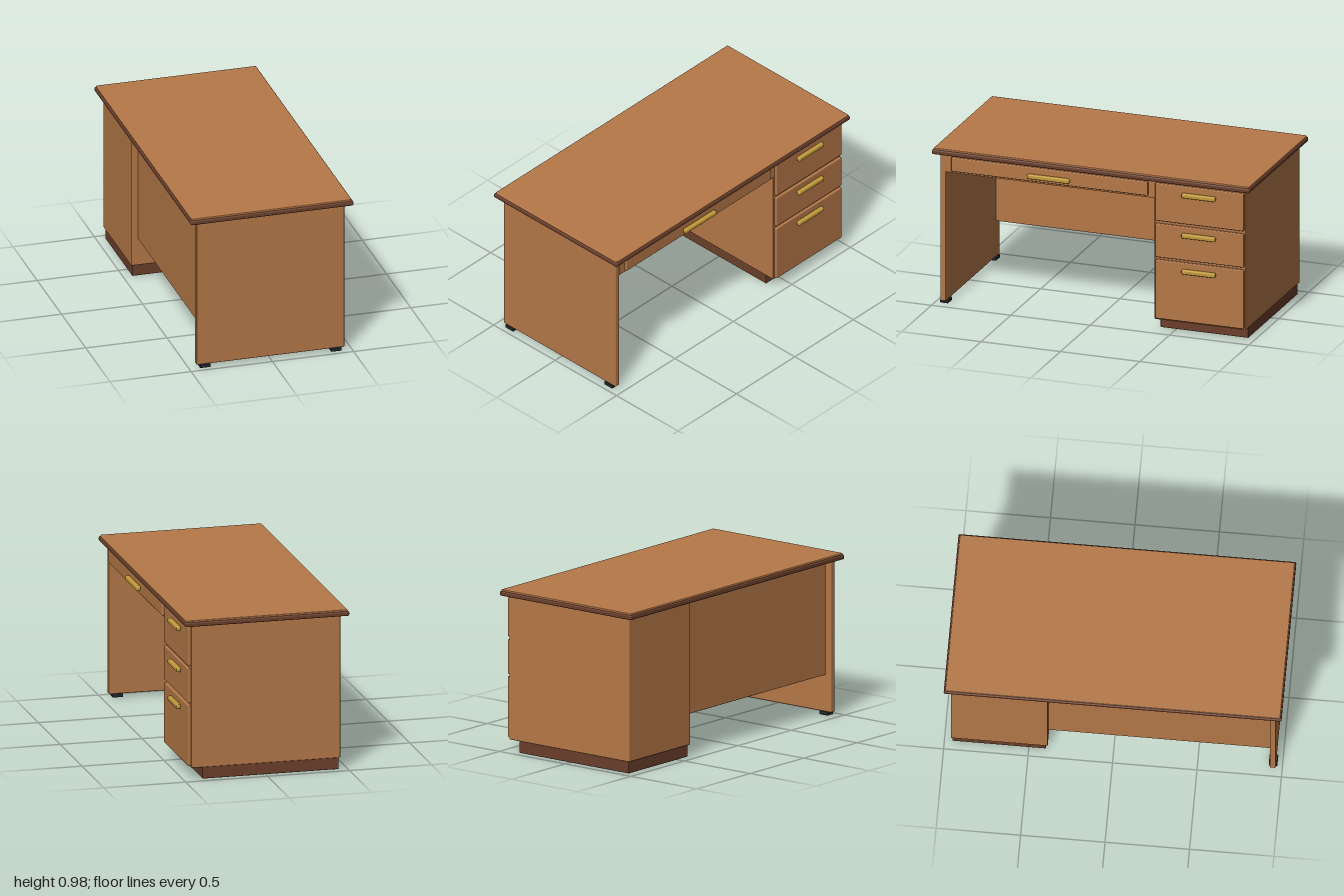
import * as THREE from 'three';
import { RoundedBoxGeometry } from 'three/addons/geometries/RoundedBoxGeometry.js';

function material(name, color) {
  const m = new THREE.MeshStandardMaterial({ color });
  m.name = name;
  return m;
}

export function createModel() {
  const desk = new THREE.Group();
  desk.name = 'desk';

  const wood = material('wood', 0xb57848);
  const darkWood = material('dark wood', 0x6b3f2b);
  const brass = material('brass', 0xc29a3a);
  const rubber = material('black rubber', 0x23262c);

  // Box with softened edges, given by its extents on each axis
  function block(name, mat, [x0, x1], [y0, y1], [z0, z1], bevel = 0.005) {
    const geo = new RoundedBoxGeometry(x1 - x0, y1 - y0, z1 - z0, 2, bevel);
    const mesh = new THREE.Mesh(geo, mat);
    mesh.position.set((x0 + x1) / 2, (y0 + y1) / 2, (z0 + z1) / 2);
    mesh.name = name;
    desk.add(mesh);
    return mesh;
  }

  // Table top with its dark edge band
  block('topEdgeBand', darkWood, [-0.5, 0.5], [0.945, 0.973], [-1, 1], 0.008);
  block('topSlab', wood, [-0.492, 0.492], [0.965, 0.983], [-0.992, 0.992], 0.005);

  // End panel standing on two feet
  block('endPanel', wood, [-0.455, 0.455], [0.02, 0.947], [0.927, 0.962]);
  for (const side of [-1, 1]) {
    const x = 0.403 * side;
    block('foot', rubber, [x - 0.033, x + 0.033], [0, 0.023], [0.919, 0.97], 0.004);
  }

  // Drawer pedestal on a recessed plinth
  block('pedestal', wood, [-0.455, 0.455], [0.072, 0.947], [-0.962, -0.388]);
  block('plinth', darkWood, [-0.445, 0.385], [0, 0.08], [-0.953, -0.4], 0.003);

  // Modesty panel and centre drawer housing
  block('modestyPanel', wood, [-0.415, -0.385], [0.245, 0.947], [-0.392, 0.93], 0.003);
  block('centreDrawerHousing', wood, [-0.39, 0.455], [0.828, 0.947], [-0.392, 0.93], 0.003);

  // Drawer fronts, each with a bar handle
  const drawers = [
    { name: 'centreDrawer', y: [0.842, 0.93], z: [-0.35, 0.888], handleY: 0.877, handleLength: 0.265 },
    { name: 'upperDrawer', y: [0.694, 0.93], z: [-0.955, -0.397], handleY: 0.877, handleLength: 0.212 },
    { name: 'middleDrawer', y: [0.467, 0.677], z: [-0.955, -0.397], handleY: 0.626, handleLength: 0.212 },
    { name: 'lowerDrawer', y: [0.083, 0.452], z: [-0.955, -0.397], handleY: 0.401, handleLength: 0.212 },
  ];
  for (const d of drawers) {
    block(d.name, wood, [0.453, 0.473], d.y, d.z, 0.006);
    const mid = (d.z[0] + d.z[1]) / 2;
    block(d.name + 'Handle', brass, [0.47, 0.498], [d.handleY - 0.014, d.handleY + 0.014],
      [mid - d.handleLength / 2, mid + d.handleLength / 2], 0.008);
  }

  return desk;
}
